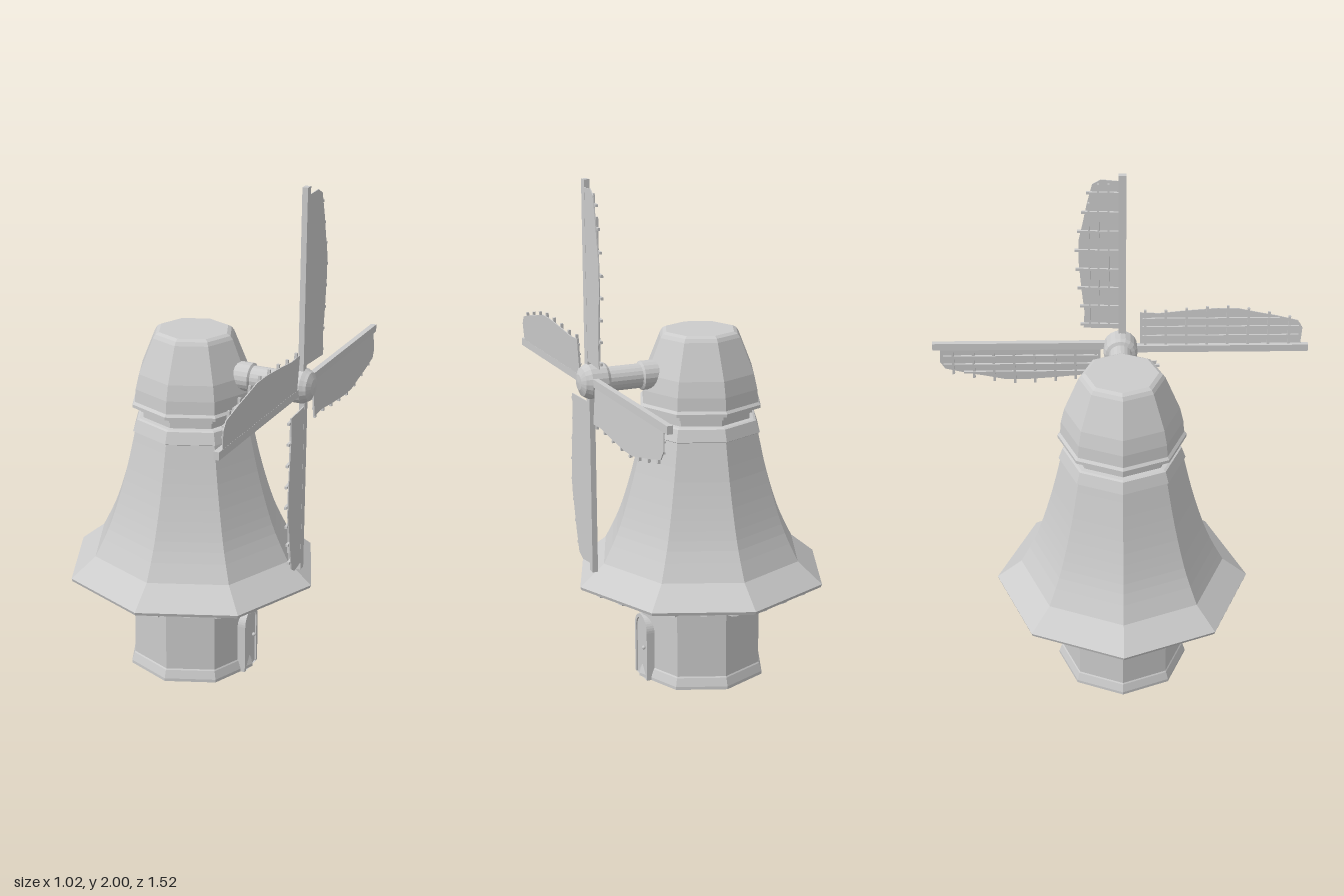
import * as THREE from 'three';

const grey = new THREE.MeshStandardMaterial({ color: 0xcccccc, flatShading: true, side: THREE.DoubleSide });
const smooth = new THREE.MeshStandardMaterial({ color: 0xcccccc });

function add(parent, name, geometry, material = grey) {
  const mesh = new THREE.Mesh(geometry, material);
  mesh.name = name;
  parent.add(mesh);
  return mesh;
}

const vectors = (pairs) => pairs.map(([x, y]) => new THREE.Vector2(x, y));

// Eight-sided body with corners on the x and z axes
const octagon = (pairs) => new THREE.LatheGeometry(vectors(pairs), 8);

function box(parent, name, size, position) {
  const mesh = add(parent, name, new THREE.BoxGeometry(...size));
  mesh.position.set(...position);
  return mesh;
}

function extrude(shape, depth) {
  return new THREE.ExtrudeGeometry(shape, { depth, bevelEnabled: false, curveSegments: 10 });
}

// Round-topped outline standing on y = 0
function arch(PathType, halfWidth, height) {
  const path = new PathType();
  path.moveTo(-halfWidth, 0);
  path.lineTo(halfWidth, 0);
  path.lineTo(halfWidth, height - halfWidth);
  path.absarc(0, height - halfWidth, halfWidth, 0, Math.PI, false);
  path.closePath();
  return path;
}

function createTower(root) {
  add(root, 'towerBase', octagon([[0, 0], [0.265, 0], [0.265, 0.012], [0.254, 0.045], [0.25, 0.05],
    [0.25, 0.315], [0.26, 0.318], [0.26, 0.332], [0.245, 0.336], [0.245, 0.6]]));

  // Hollow flared skirt: inner face, rim, then the curved outer face
  const flare = new THREE.SplineCurve(vectors([[0.41, 0.5], [0.355, 0.61], [0.315, 0.72], [0.275, 0.86], [0.24, 1.012]]));
  const outer = flare.getPoints(12).map((p) => [p.x, p.y]);
  add(root, 'skirt', octagon([[0.245, 0.6], [0.33, 0.57], [0.39, 0.49], [0.485, 0.408], [0.506, 0.406], [0.51, 0.418], ...outer]));
  add(root, 'collar', octagon([[0.23, 1.0], [0.248, 1.01], [0.232, 1.056], [0.222, 1.06], [0.205, 1.062],
    [0.205, 1.085], [0.216, 1.087], [0.216, 1.1], [0.205, 1.102], [0.205, 1.13]]));
  add(root, 'cap', octagon([[0.2, 1.108], [0.25, 1.108], [0.25, 1.12], [0.24, 1.13], [0.236, 1.18],
    [0.222, 1.24], [0.165, 1.378], [0.155, 1.392], [0.14, 1.4], [0, 1.4]]));

  // Sloping rafters under the rim
  const slope = Math.atan2(0.07, 0.25);
  for (let i = 0; i < 24; i++) {
    const angle = ((i + 0.5) / 24) * Math.PI * 2;
    const spread = Math.cos(Math.PI / 8) / Math.cos((angle % (Math.PI / 4)) - Math.PI / 8);
    const rafter = new THREE.Group();
    rafter.name = 'rafter';
    rafter.rotation.y = angle;
    const beam = box(rafter, 'rafterBeam', [0.25 * spread, 0.026, 0.024], [0.36 * spread, 0.372, 0]);
    beam.rotation.z = slope;
    root.add(rafter);
  }
}

function createDoor(root) {
  const door = new THREE.Group();
  door.name = 'door';
  door.rotation.y = Math.PI / 2;
  const frame = arch(THREE.Shape, 0.061, 0.262);
  frame.holes.push(arch(THREE.Path, 0.048, 0.248));
  add(door, 'doorFrame', extrude(frame, 0.06)).position.z = 0.198;
  add(door, 'doorPanel', extrude(arch(THREE.Shape, 0.05, 0.25), 0.055)).position.z = 0.197;
  const knob = add(door, 'doorKnob', new THREE.SphereGeometry(0.008, 10, 8), smooth);
  knob.position.set(0.027, 0.13, 0.257);
  root.add(door);
}

// Sail outline: distance along the arm, width at the trailing edge
const trailing = [[0.08, 0.148], [0.155, 0.144], [0.26, 0.155], [0.39, 0.165], [0.47, 0.164],
  [0.55, 0.146], [0.63, 0.13], [0.715, 0.108]];

function widthAt(u) {
  const i = Math.max(1, trailing.findIndex((p) => p[0] >= u));
  const [a, b] = [trailing[i - 1], trailing[i]];
  return THREE.MathUtils.mapLinear(u, a[0], b[0], a[1], b[1]);
}

function createBlade() {
  const blade = new THREE.Group();
  blade.name = 'blade';
  box(blade, 'spar', [0.03, 0.755, 0.022], [-0.008, 0.3825, 0]);

  const sail = new THREE.Group();
  sail.name = 'sail';
  sail.rotation.y = -0.06;
  const outline = [[-0.022, 0.08], ...trailing.map(([u, v]) => [v, u]), [0.075, 0.735], [0.01, 0.73], [-0.022, 0.755]];
  add(sail, 'sailCloth', extrude(new THREE.Shape(vectors(outline)), 0.004)).position.z = 0.006;

  // Lattice behind the cloth
  for (let i = 0; i < 8; i++) {
    const u = 0.1 + i * 0.083;
    const end = widthAt(u) + 0.014;
    box(sail, 'rung', [end, 0.01, 0.01], [end / 2, u, 0.002]);
  }
  for (const v of [0.045, 0.085, 0.122]) {
    const end = v > 0.1 ? 0.64 : 0.72;
    box(sail, 'latticeStrip', [0.007, end - 0.09, 0.009], [v, (end + 0.09) / 2, 0]);
  }
  blade.add(sail);
  return blade;
}

function createRotor(root) {
  const rotor = new THREE.Group();
  rotor.name = 'rotor';
  rotor.position.y = 1.24;
  rotor.rotation.y = Math.PI / 2;

  // Shaft, hub and nose turned around the rotor axis
  const profile = [[0, 0.1], [0.056, 0.1], [0.056, 0.248], [0.047, 0.254], [0.047, 0.385], [0.06, 0.39], [0.068, 0.402],
    [0.068, 0.465], [0.06, 0.478], [0.055, 0.488], [0.03, 0.5], [0, 0.503]];
  const shaft = add(rotor, 'shaftAndHub', new THREE.LatheGeometry(vectors(profile), 20));
  shaft.rotation.x = Math.PI / 2;

  for (let i = 0; i < 4; i++) {
    const blade = createBlade();
    blade.position.z = 0.455;
    blade.rotation.z = -i * Math.PI / 2;
    rotor.add(blade);
  }
  root.add(rotor);
}

export function createModel() {
  const root = new THREE.Group();
  root.name = 'windmill';
  createTower(root);
  createDoor(root);
  createRotor(root);
  return root;
}
